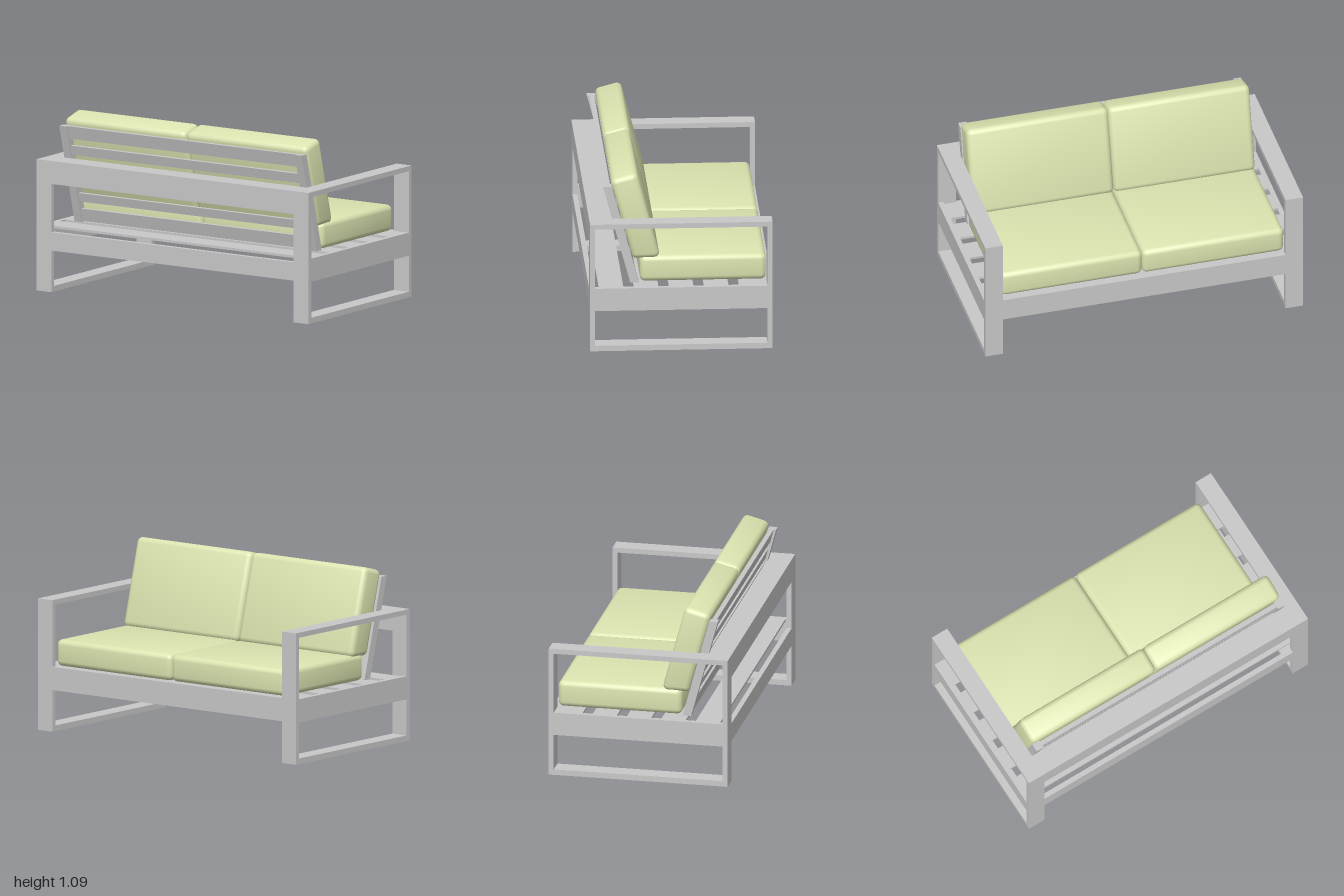
import * as THREE from 'three';
import { RoundedBoxGeometry } from 'three/addons/geometries/RoundedBoxGeometry.js';

export function createModel() {
  const model = new THREE.Group();
  model.name = 'twoSeatSofa';

  const frameGrey = new THREE.MeshStandardMaterial({ color: 0xc8c8c8 });
  frameGrey.name = 'frame grey';
  const cushionGreen = new THREE.MeshStandardMaterial({ color: 0xdbe4b0 });
  cushionGreen.name = 'cushion green';

  const add = (name, geometry, material) => {
    const mesh = new THREE.Mesh(geometry, material);
    mesh.name = name;
    model.add(mesh);
    return mesh;
  };
  // Box given by its limits on each axis
  const bar = (name, x0, x1, y0, y1, z0, z1) => {
    const mesh = add(name, new THREE.BoxGeometry(x1 - x0, y1 - y0, z1 - z0), frameGrey);
    mesh.position.set((x0 + x1) / 2, (y0 + y1) / 2, (z0 + z1) / 2);
  };
  // Prism along x from a side outline of [z, y] points; holes wind the other way
  const sidePrism = (name, outline, x0, x1, holes = []) => {
    const toPoints = (list) => list.map(([z, y]) => new THREE.Vector2(-z, y));
    const shape = new THREE.Shape(toPoints(outline));
    holes.forEach((hole) => shape.holes.push(new THREE.Path(toPoints(hole))));
    const geometry = new THREE.ExtrudeGeometry(shape, { depth: x1 - x0, bevelEnabled: false });
    geometry.rotateY(Math.PI / 2);
    geometry.translate(x0, 0, 0);
    add(name, geometry, frameGrey);
  };
  const rect = (z0, z1, y0, y1) => [[z0, y0], [z1, y0], [z1, y1], [z0, y1]];

  const D = 0.555, H = 0.81, T = 0.031, INNER = 0.89;

  // Arm loops, with a thin apron on the outer face
  for (const s of [-1, 1]) {
    const [x0, x1] = s > 0 ? [INNER, 1] : [-1, -INNER];
    sidePrism('armLoop', rect(-D, D, 0, H), x0, x1, [rect(D - T, -D + T, 0.035, H - T)]);
    const [a0, a1] = s > 0 ? [1 - T, 1] : [-1, -1 + T];
    bar('sideApron', a0, a1, 0.257, 0.4, -D + T, D - T);
  }

  // Rails joining the two arm loops
  bar('seatEdgeRail', -INNER, INNER, 0.257, 0.4, -D, -D + T);
  bar('rearLowerRail', -INNER, INNER, 0.257, 0.37, D - T, D);
  bar('rearUpperRail', -INNER, INNER, 0.668, H, D - T, D);
  bar('rearShelf', -INNER, INNER, H - T, H, 0.41, D - T);

  // Seat slats, the first one meeting the seat edge rail
  for (let i = 0; i < 5; i++) {
    const z = -0.426 + i * 0.213;
    bar('seatSlat', -1 + T, 1 - T, 0.385, 0.4, i === 0 ? -D + T : z - 0.075, z + 0.075);
  }

  // Leaning backrest posts and slats; rear(y) is the sloping rear face
  const rear = (y) => 0.305 + (y - 0.4) * 0.268;
  const leaning = (name, y0, y1, inset, depth, x0, x1) => sidePrism(name, [
    [rear(y0) - inset - depth, y0], [rear(y0) - inset, y0],
    [rear(y1) - inset, y1], [rear(y1) - inset - depth, y1],
  ], x0, x1);
  leaning('backPost', 0.4, 1.015, 0, 0.053, 0.84, INNER);
  leaning('backPost', 0.4, 1.015, 0, 0.053, -INNER, -0.84);
  const slats = [[0.405, 0.485], [0.53, 0.585], [0.63, 0.69], [0.73, 0.79], [0.83, 0.89], [0.935, 1.015]];
  for (const [y0, y1] of slats) leaning('backSlat', y0, y1, 0.015, 0.03, -0.84, 0.84);

  // Padded block: normals lean outwards for a plump look, lower front edge may droop
  const cushion = (name, height, depth, droop) => {
    const geometry = new RoundedBoxGeometry(0.889, height, depth, 3, 0.032);
    const { position, normal } = geometry.attributes;
    const n = new THREE.Vector3();
    for (let i = 0; i < position.count; i++) {
      const x = position.getX(i), y = position.getY(i), z = position.getZ(i);
      n.fromBufferAttribute(normal, i);
      n.add(new THREE.Vector3(x / 0.889, y / height, z / depth).multiplyScalar(0.35)).normalize();
      normal.setXYZ(i, n.x, n.y, n.z);
      if (y < 0 && z < 0) position.setY(i, y - droop);
    }
    return add(name, geometry, cushionGreen);
  };

  // Seat and back cushions
  for (const s of [-1, 1]) {
    const seat = cushion('seatCushion', 0.163, 0.766, 0);
    seat.position.set(s * 0.4455, 0.483, -0.138);
    const back = cushion('backCushion', 0.53, 0.165, 0.025);
    back.position.set(s * 0.4455, 0.818, 0.276);
    back.rotation.x = 0.262;
  }

  return model;
}
